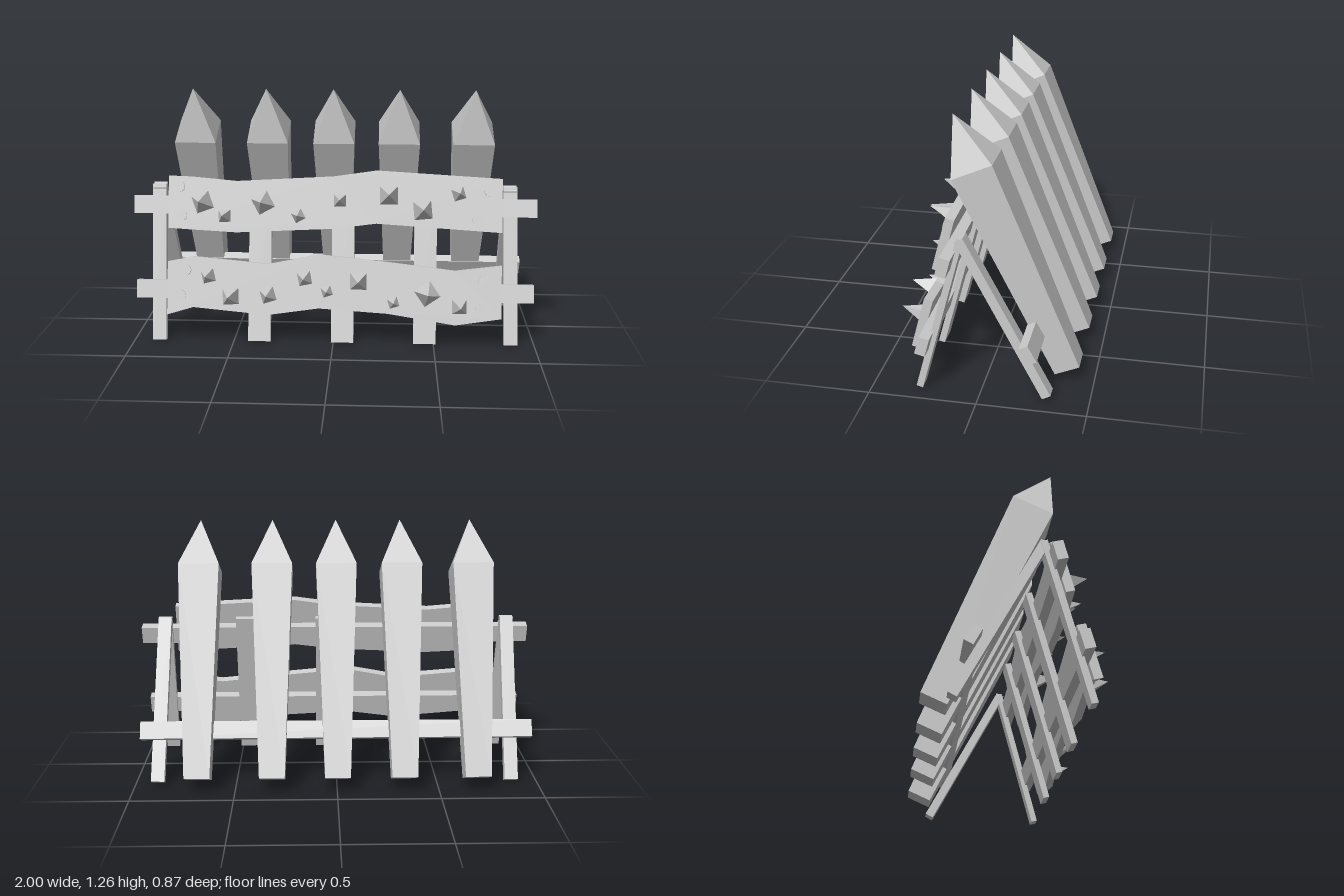
import * as THREE from 'three';

const material = new THREE.MeshStandardMaterial({ color: 0xcccccc, flatShading: true });

function add(parent, name, geometry, x = 0, y = 0, z = 0) {
  const mesh = new THREE.Mesh(geometry, material);
  mesh.name = name;
  mesh.position.set(x, y, z);
  parent.add(mesh);
  return mesh;
}

// A frame whose y axis runs along a leaning row of timbers
function leaningFrame(parent, name, y, z, angle) {
  const frame = new THREE.Group();
  frame.name = name;
  frame.position.set(0, y, z);
  frame.rotation.x = angle;
  parent.add(frame);
  return frame;
}

// Height on the front of a plank, converted to distance along the frame
const along = (y) => (y - 0.03) / 0.967;
const PLANK_FRONT = 0.096;
const PLANK_DEPTH = 0.042;

// Crooked plank: top and bottom edges as [x, y], left to right
function addPlank(parent, name, top, bottom) {
  const outline = [...bottom, ...top.slice().reverse()];
  const shape = new THREE.Shape(outline.map(([x, y]) => new THREE.Vector2(x, along(y))));
  const geometry = new THREE.ExtrudeGeometry(shape, { depth: PLANK_DEPTH, bevelEnabled: false });
  add(parent, name, geometry, 0, 0, PLANK_FRONT - PLANK_DEPTH);
}

// Four-sided spike standing out of a plank: [x, tip height, width, length, turn]
function addSpike(parent, [x, y, width, length, turn]) {
  const geometry = new THREE.ConeGeometry(width * 0.707, length + 0.01, 4);
  geometry.rotateY(Math.PI / 4 + turn).rotateX(Math.PI / 2);
  add(parent, 'spike', geometry, x, along(y - 0.015), PLANK_FRONT + length / 2 - 0.005);
}

function addBolt(parent, [x, y, radius]) {
  const geometry = new THREE.CylinderGeometry(radius, radius, 0.02, 12).rotateX(Math.PI / 2);
  add(parent, 'bolt', geometry, x, along(y), PLANK_FRONT - 0.003);
}

export function createModel() {
  const model = new THREE.Group();
  model.name = 'spikedBarricade';

  // Large sharpened stakes leaning forward
  const stakeProfile = [[0, 0], [0.0625, 0], [0.101, 1.06], [0, 1.311]]
    .map(([r, y]) => new THREE.Vector2(r * Math.SQRT2, y));
  const stakeGeometry = new THREE.LatheGeometry(stakeProfile, 4, Math.PI / 4);
  const stakes = leaningFrame(model, 'stakes', 0.06, -0.375, 0.4165);
  for (const x of [-0.687, -0.33, -0.003, 0.318, 0.682]) add(stakes, 'stake', stakeGeometry, x);

  // Front frame: legs and two rails
  const front = leaningFrame(model, 'frontFrame', 0.006, 0.283, -0.259);
  for (const [x, width, lean] of [
    [-0.877, 0.068, 0.013], [-0.37, 0.112, 0], [0.045, 0.112, 0], [0.455, 0.112, 0], [0.877, 0.068, 0.013],
  ]) {
    add(front, 'frontLeg', new THREE.BoxGeometry(width, 0.785, 0.031), x, 0.3925, 0).rotation.z = lean;
  }
  add(front, 'upperRail', new THREE.BoxGeometry(2, 0.09, 0.049), 0, 0.68, 0.03);
  add(front, 'lowerRail', new THREE.BoxGeometry(1.97, 0.09, 0.049), 0.003, 0.258, 0.03);

  // Back frame: two legs and a rail under the stakes
  const back = leaningFrame(model, 'backFrame', 0.02, -0.307, 0.49);
  for (const x of [-0.874, 0.879]) {
    add(back, 'backLeg', new THREE.BoxGeometry(0.066, 0.84, 0.044), x, 0.42, 0).rotation.z = 0.017;
  }
  add(back, 'backRail', new THREE.BoxGeometry(1.946, 0.087, 0.046), 0, 0.25, -0.046);

  // Crooked planks
  addPlank(front, 'upperPlank',
    [[-0.82, 0.826], [-0.7, 0.822], [-0.48, 0.803], [0, 0.83], [0.21, 0.86], [0.825, 0.826]],
    [[-0.82, 0.575], [-0.7, 0.568], [-0.48, 0.557], [0, 0.58], [0.21, 0.607], [0.825, 0.57]]);
  addPlank(front, 'lowerPlank',
    [[-0.82, 0.415], [-0.69, 0.44], [-0.32, 0.408], [-0.07, 0.457], [0.27, 0.425], [0.6, 0.388], [0.825, 0.415]],
    [[-0.82, 0.16], [-0.69, 0.197], [-0.32, 0.165], [-0.07, 0.2], [0.27, 0.18], [0.6, 0.13], [0.825, 0.163]]);

  // Spikes on the upper, then the lower plank
  const spikes = [
    [-0.65, 0.715, 0.095, 0.13, 0.35], [-0.54, 0.65, 0.065, 0.1, 0.05], [-0.35, 0.715, 0.095, 0.13, 0.5],
    [-0.175, 0.655, 0.06, 0.09, 0.5], [0.03, 0.73, 0.065, 0.1, 0], [0.27, 0.757, 0.095, 0.13, 0],
    [0.437, 0.688, 0.095, 0.14, 0.1], [0.612, 0.768, 0.065, 0.11, 0.3],
    [-0.617, 0.362, 0.068, 0.11, 0.25], [-0.505, 0.266, 0.085, 0.12, 0.05], [-0.32, 0.275, 0.075, 0.11, 0.3],
    [-0.14, 0.357, 0.07, 0.11, 0.2], [-0.03, 0.297, 0.055, 0.08, 0.3], [0.125, 0.347, 0.088, 0.13, 0],
    [0.297, 0.249, 0.055, 0.08, 0.3], [0.463, 0.292, 0.1, 0.13, 0.6], [0.62, 0.233, 0.075, 0.12, 0],
  ];
  for (const spike of spikes) addSpike(front, spike);

  // Round bolt heads at the plank ends
  const bolts = [
    [-0.767, 0.773, 0.028], [-0.752, 0.635, 0.026], [0.762, 0.768, 0.026], [0.708, 0.632, 0.028],
    [-0.728, 0.375, 0.026], [-0.757, 0.252, 0.031], [0.746, 0.34, 0.034], [0.721, 0.213, 0.022],
  ];
  for (const bolt of bolts) addBolt(front, bolt);

  return model;
}
